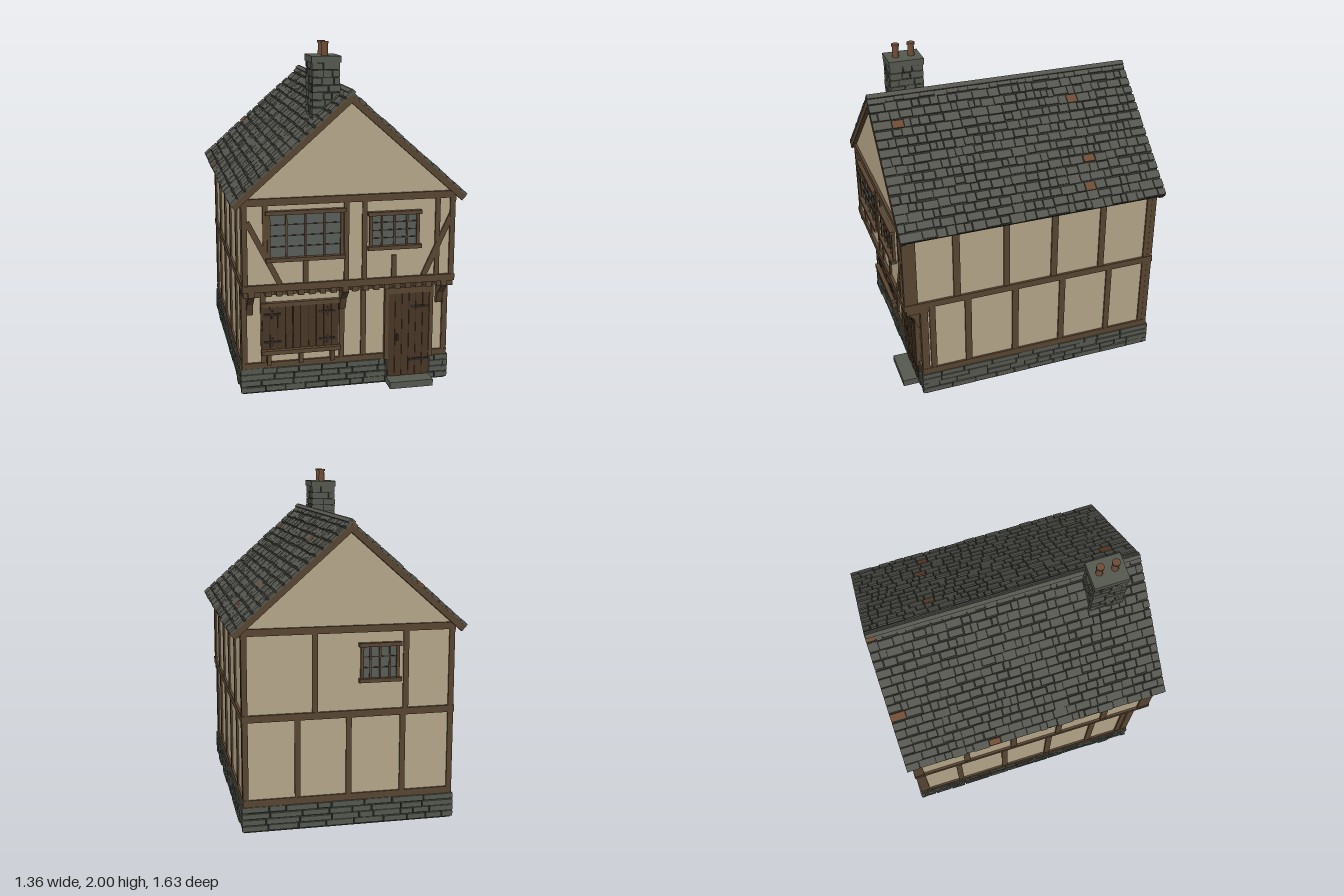
import * as THREE from 'three';
import { mergeGeometries } from 'three/addons/utils/BufferGeometryUtils.js';

const mat = (name, color) => {
  const m = new THREE.MeshStandardMaterial({ color });
  m.name = name;
  return m;
};

export function createModel() {
  const plaster = mat('plaster', 0xb9a98c), timber = mat('timber', 0x5a4632), boards = mat('dark boards', 0x493626);
  const slate = mat('slate', 0x565650), stone = mat('stone', 0x565950), gap = mat('dark joints', 0x2d2e2a);
  const glass = mat('glass', 0x5a605c), iron = mat('iron', 0x2f2721), clay = mat('clay', 0x6e4c36);

  const house = new THREE.Group();
  house.name = 'timberHouse';
  let seed = 7;
  const rnd = (a, b) => {
    seed = (seed * 16807) % 2147483647;
    return a + (b - a) * (seed / 2147483647);
  };
  // box from its limits
  const box = (x0, x1, y0, y1, z0, z1) =>
    new THREE.BoxGeometry(x1 - x0, y1 - y0, z1 - z0).translate((x0 + x1) / 2, (y0 + y1) / 2, (z0 + z1) / 2);
  const part = (name, material, geos, parent = house) => {
    const m = new THREE.Mesh(geos.length > 1 ? mergeGeometries(geos) : geos[0], material);
    m.name = name;
    parent.add(m);
    return m;
  };
  // slanted beam in the front plane
  const brace = (x0, y0, x1, y1, w, z0, z1) => {
    const l = Math.hypot(x1 - x0, y1 - y0);
    return new THREE.BoxGeometry(l, w, z1 - z0).rotateZ(Math.atan2(y1 - y0, x1 - x0))
      .translate((x0 + x1) / 2, (y0 + y1) / 2, (z0 + z1) / 2);
  };
  const extrude = (pts, depth) => new THREE.ExtrudeGeometry(
    new THREE.Shape(pts.map(p => new THREE.Vector2(...p))), { depth, bevelEnabled: false });

  // ring of stone courses around a rectangular core
  const courses = (x0, x1, z0, z1, y0, y1, rows, wMin, wMax) => {
    const out = [], h = (y1 - y0) / rows, g = 0.007;
    for (let r = 0; r < rows; r++) for (const alongX of [true, false]) for (const s of [-1, 1]) {
      const [a, b] = alongX ? [x0, x1] : [z0, z1];
      const lo = y0 + r * h;
      for (let t = a; t < b - 0.001;) {
        let e = t + rnd(wMin, wMax);
        if (b - e < wMin * 0.7) e = b;
        const f = rnd(-0.005, 0.003), d = 0.03, top = lo + h - rnd(0.003, g);
        const t1 = e === b ? e : e - g;
        const face = alongX ? (s > 0 ? z1 : z0) + s * f : (s > 0 ? x1 : x0) + s * f;
        const [n0, n1] = s > 0 ? [face - d, face] : [face, face + d];
        out.push(alongX ? box(t, t1, lo, top, n0, n1) : box(n0, n1, lo, top, t, t1));
        t = e;
      }
    }
    return out;
  };

  // stone footing and doorstep
  part('footingCore', gap, [box(-0.608, 0.608, 0, 0.15, -0.79, 0.703)]);
  part('footingStones', stone, courses(-0.618, 0.618, -0.802, 0.714, 0.01, 0.155, 4, 0.07, 0.2));
  part('doorstep', stone, [box(0.24, 0.5, 0, 0.04, 0.7, 0.81)]);

  // plaster walls with gables
  part('lowerWalls', plaster, [box(-0.6, 0.6, 0.14, 0.66, -0.782, 0.695)]);
  part('upperWalls', plaster, [box(-0.6, 0.6, 0.65, 1.13, -0.782, 0.788)]);
  part('gables', plaster, [extrude([[-0.6, 1.12], [0.6, 1.12], [0.6, 1.165], [0, 1.7], [-0.6, 1.165]], 1.57)
    .translate(0, 0, -0.782)]);

  // side framing, mirrored
  const side = [];
  for (const s of [-1, 1]) {
    const add = (z0, z1, y0, y1, o = 0.61) => side.push(box(s > 0 ? 0.58 : -o, s > 0 ? o : -0.58, y0, y1, z0, z1));
    add(-0.79, 0.705, 0.15, 0.19, 0.612);
    add(-0.794, 0.8, 0.64, 0.68, 0.614);
    add(-0.79, 0.8, 1.112, 1.155, 0.614);
    for (const [c, w] of [[0.686, 0.044], [0.636, 0.036], [0.415, 0.04], [0.115, 0.04], [-0.19, 0.038], [-0.502, 0.036], [-0.76, 0.06]])
      add(c - w / 2, c + w / 2, 0.17, 0.66);
    for (const [c, w] of [[0.76, 0.08], [0.48, 0.042], [0.173, 0.038], [-0.13, 0.04], [-0.44, 0.038], [-0.76, 0.06]])
      add(c - w / 2, c + w / 2, 0.66, 1.14);
  }
  part('sideFraming', timber, side);

  // back framing
  const back = [box(-0.61, 0.61, 0.15, 0.19, -0.793, -0.76), box(-0.612, 0.612, 0.64, 0.68, -0.796, -0.76),
    box(-0.612, 0.612, 1.125, 1.165, -0.796, -0.76)];
  for (const x of [-0.595, -0.31, 0.005, 0.3, 0.595]) back.push(box(x - 0.016, x + 0.016, 0.17, 0.66, -0.791, -0.76));
  for (const x of [-0.595, -0.325, 0.2, 0.595]) back.push(box(x - 0.016, x + 0.016, 0.66, 1.14, -0.791, -0.76));
  part('backFraming', timber, back);

  // front framing, upper floor
  const up = [box(-0.612, 0.612, 1.13, 1.17, 0.77, 0.804), box(-0.614, 0.614, 0.64, 0.68, 0.68, 0.805),
    brace(-0.58, 1.04, -0.4, 0.68, 0.032, 0.77, 0.799), brace(0.59, 1.03, 0.43, 0.68, 0.032, 0.77, 0.799)];
  for (const [x, y0, y1] of [[-0.595, 0.66, 1.14], [0.595, 0.66, 1.14], [-0.48, 0.84, 1.14], [-0.022, 0.66, 1.14],
    [0.082, 0.66, 1.14], [0.508, 0.66, 1.14], [-0.255, 0.66, 0.82], [0.255, 0.66, 0.81]])
    up.push(box(x - 0.014, x + 0.014, y0, y1, 0.77, 0.798));
  part('upperFrontFraming', timber, up);

  // front framing, ground floor
  const low = [box(-0.61, 0.23, 0.152, 0.185, 0.67, 0.71), box(0.51, 0.61, 0.152, 0.185, 0.67, 0.71),
    box(-0.61, 0.61, 0.588, 0.615, 0.67, 0.708)];
  for (const x of [-0.593, -0.485, -0.027, 0.102, 0.593]) low.push(box(x - 0.015, x + 0.015, 0.17, 0.64, 0.67, 0.706));
  part('lowerFrontFraming', timber, low);

  // jetty joist ends and brackets
  const joists = [];
  for (let i = 0; i < 20; i++) joists.push(box(-0.607 + i * 0.0622, -0.573 + i * 0.0622, 0.607, 0.645, 0.66, 0.79));
  part('joistEnds', timber, joists);
  part('jettyBrackets', timber, [-0.563, -0.025, 0.555].map(x =>
    extrude([[0.69, 0.48], [0.715, 0.48], [0.74, 0.55], [0.8, 0.61], [0.8, 0.64], [0.69, 0.64]], 0.036)
      .rotateY(-Math.PI / 2).translate(x + 0.018, 0, 0)));

  // leaded windows
  const windowUnit = (name, x0, x1, y0, y1, cols, rows, zf, turn) => {
    const g = new THREE.Group();
    g.name = name;
    part('glass', glass, [box(x0, x1, y0, y1, zf - 0.01, zf - 0.002)], g);
    const f = [box(x0 - 0.01, x1 + 0.01, y1 - 0.022, y1, zf - 0.02, zf + 0.022),
      box(x0 - 0.01, x1 + 0.01, y0, y0 + 0.022, zf - 0.02, zf + 0.025),
      box(x0, x0 + 0.018, y0, y1, zf - 0.02, zf + 0.01), box(x1 - 0.018, x1, y0, y1, zf - 0.02, zf + 0.01)];
    for (let i = 1; i < cols; i++) {
      const x = x0 + (x1 - x0) * i / cols;
      f.push(box(x - 0.005, x + 0.005, y0, y1, zf - 0.01, zf + 0.006));
    }
    part('frame', timber, f, g);
    const bars = [];
    for (let i = 1; i < rows; i++) {
      const y = y0 + 0.02 + (y1 - y0 - 0.04) * i / rows;
      bars.push(box(x0, x1, y - 0.003, y + 0.003, zf - 0.008, zf + 0.002));
    }
    part('glazingBars', iron, bars, g);
    if (turn) g.rotation.y = Math.PI;
    house.add(g);
  };
  windowUnit('largeWindow', -0.47, -0.04, 0.812, 1.1, 4, 4, 0.794);
  windowUnit('smallWindow', 0.108, 0.4, 0.848, 1.068, 4, 4, 0.794);
  windowUnit('backWindow', 0.06, 0.285, 0.84, 1.065, 4, 3, 0.788, true);

  // shop shutters with counter shelf
  const planks = [];
  for (let i = 0; i < 10; i++) {
    const x = -0.492 + i * 0.0447;
    planks.push(box(x, x + 0.041, 0.262, 0.528, 0.69, 0.716 + rnd(-0.002, 0.002)));
  }
  part('shutterBacking', gap, [box(-0.494, -0.046, 0.255, 0.53, 0.69, 0.709)]);
  part('shutterPlanks', boards, planks);
  part('counter', timber, [box(-0.5, -0.04, 0.52, 0.545, 0.69, 0.722), box(-0.5, -0.04, 0.24, 0.265, 0.69, 0.742),
    ...[-0.455, -0.27, -0.085].map(x => box(x - 0.012, x + 0.012, 0.175, 0.245, 0.69, 0.73))]);
  const hinges = [];
  for (const y of [0.475, 0.31]) for (const [a, b] of [[-0.485, -0.385], [-0.165, -0.065]])
    hinges.push(box(a, b, y - 0.006, y + 0.006, 0.71, 0.722), box((a + b) / 2 - 0.006, (a + b) / 2 + 0.006, y - 0.025, y + 0.025, 0.71, 0.722));
  part('shutterHinges', iron, hinges);

  // plank door
  part('doorBacking', gap, [box(0.23, 0.51, 0.04, 0.57, 0.68, 0.716)]);
  part('doorPlanks', boards, Array.from({ length: 6 }, (_, i) =>
    box(0.248 + i * 0.0415, 0.286 + i * 0.0415, 0.042, 0.556, 0.69, 0.72 + (i % 2) * 0.002)));
  part('doorFrame', timber, [box(0.226, 0.248, 0.15, 0.59, 0.68, 0.724), box(0.496, 0.518, 0.15, 0.59, 0.68, 0.724),
    box(0.226, 0.518, 0.552, 0.59, 0.68, 0.727)]);
  part('doorIronwork', iron, [box(0.38, 0.492, 0.46, 0.474, 0.715, 0.727), box(0.38, 0.492, 0.133, 0.147, 0.715, 0.727),
    box(0.296, 0.308, 0.265, 0.305, 0.715, 0.73)]);

  // roof: each slope is laid flat from the ridge outward, then tipped
  const pitch = Math.atan2(0.6, 0.68), rowsN = 16, len = 0.907, rowH = len / rowsN;
  const slope = s => g => {
    g.rotateZ(-pitch);
    if (s < 0) g.rotateY(Math.PI);
    return g.translate(0, 1.747, 0);
  };
  for (const s of [-1, 1]) {
    const tip = slope(s), roof = new THREE.Group();
    roof.name = s > 0 ? 'leftRoof' : 'rightRoof';
    house.add(roof);
    part('roofDeck', gap, [tip(box(0, len - 0.004, -0.024, -0.008, -0.808, 0.808))], roof);
    part('eaveBoards', timber, [tip(box(0, 0.895, -0.042, -0.022, -0.8, 0.8))], roof);
    part('bargeBoards', timber, [tip(box(0, 0.902, -0.05, -0.01, 0.784, 0.813)), tip(box(0, 0.902, -0.05, -0.01, -0.813, -0.784))], roof);
    const slates = [], rusty = [];
    for (let r = 0; r < rowsN; r++) {
      for (let z = -0.815; z < 0.814;) {
        let e = z + rnd(0.035, 0.1);
        if (0.815 - e < 0.03) e = 0.815;
        const u0 = r * rowH + rnd(0, 0.006), u1 = (r + 1) * rowH - rnd(0.002, 0.012), lift = rnd(-0.003, 0.002);
        const g = tip(box(u0, u1, -0.016, lift, z, e === 0.815 ? e : e - rnd(0.003, 0.007)));
        (rnd(0, 1) < 0.01 ? rusty : slates).push(g);
        z = e;
      }
    }
    part('slates', slate, slates, roof);
    if (rusty.length) part('rustySlates', clay, rusty, roof);
  }
  part('ridgeCap', slate, [-1, 1].map(s => slope(s)(box(-0.002, 0.022, -0.004, 0.009, -0.812, 0.812))));

  // chimney with two pots
  part('chimneyCore', gap, [box(-0.18, -0.04, 1.5, 1.915, 0.465, 0.65)]);
  part('chimneyStones', stone, courses(-0.187, -0.033, 0.46, 0.658, 1.52, 1.89, 9, 0.04, 0.1));
  part('chimneyCap', stone, [box(-0.193, -0.027, 1.885, 1.922, 0.455, 0.662)]);
  part('chimneyPots', clay, [0.51, 0.602].flatMap(z => [
    new THREE.CylinderGeometry(0.018, 0.021, 0.08, 12).translate(-0.108, 1.955, z),
    new THREE.CylinderGeometry(0.023, 0.023, 0.014, 12).translate(-0.108, 1.993, z)]));
  return house;
}
